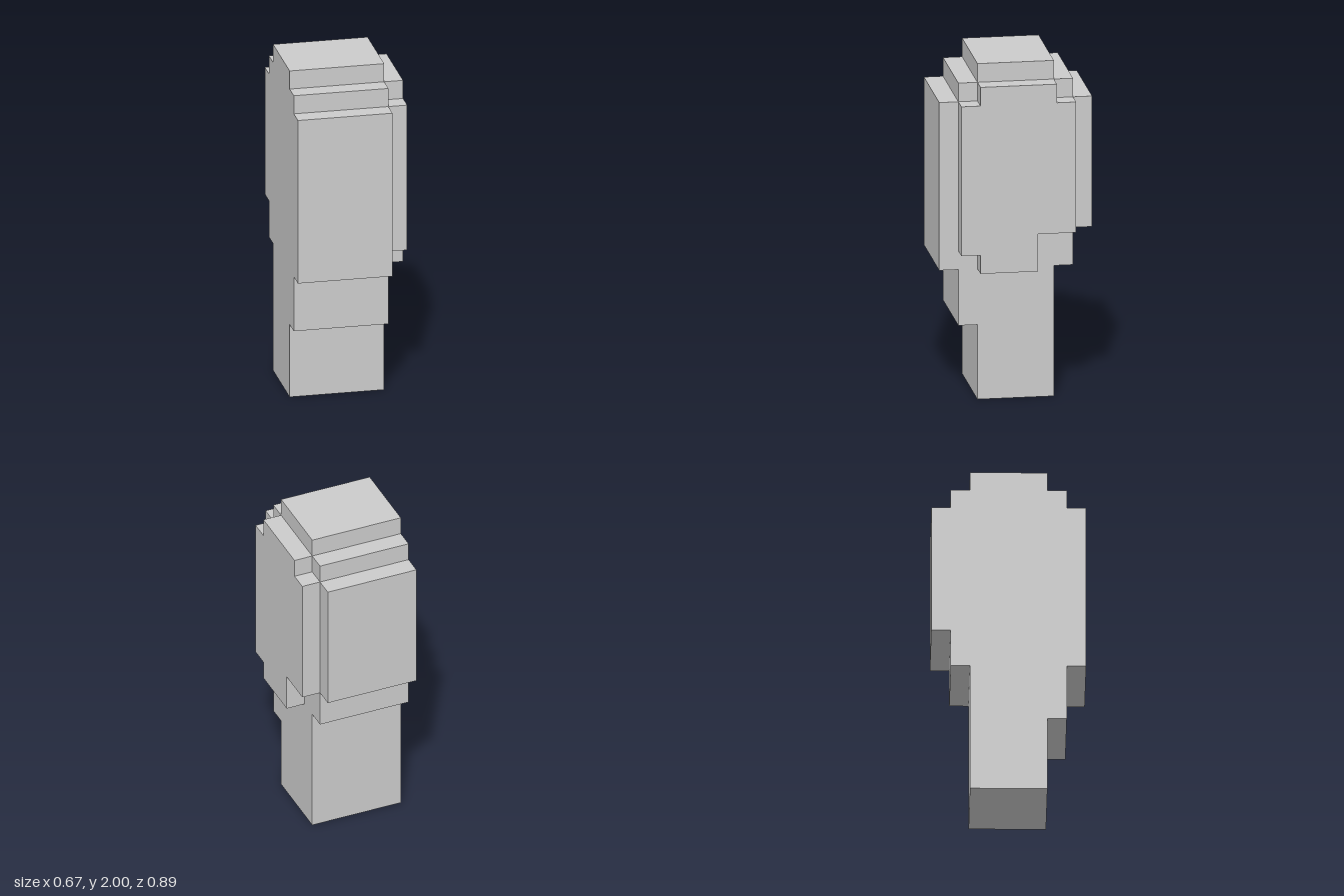
import * as THREE from 'three';

// Everything sits on a grid of eighteen steps in height
const U = 1 / 9;

// Extrudes a stepped side outline of [z, y] grid points between two x positions
function slab(name, outline, x0, x1, material) {
  const shape = new THREE.Shape(outline.map(([z, y]) => new THREE.Vector2(z * U, y * U)));
  const geometry = new THREE.ExtrudeGeometry(shape, { depth: (x1 - x0) * U, bevelEnabled: false });
  geometry.rotateY(-Math.PI / 2).translate(x1 * U, 0, 0);
  const mesh = new THREE.Mesh(geometry, material);
  mesh.name = name;
  return mesh;
}

export function createModel() {
  const group = new THREE.Group();
  group.name = 'steppedBlock';
  const material = new THREE.MeshStandardMaterial({ color: 0xcccccc, flatShading: true });

  // Main body: narrow post below, stepped head above
  const body = [
    [-2, 0], [2, 0], [2, 4], [3, 4], [3, 7], [4, 7], [4, 16], [3, 16], [3, 17], [2, 17], [2, 18],
    [-2, 18], [-2, 17], [-3, 17], [-3, 16], [-4, 16], [-4, 9], [-3, 9], [-3, 7], [-2, 7],
  ];
  group.add(slab('body', body, -3, 2, material));

  // Raised panel on the left side of the head
  const panel = [
    [-1, 7], [2, 7], [2, 8], [3, 8], [3, 16], [2, 16], [2, 17],
    [-2, 17], [-2, 16], [-3, 16], [-3, 9], [-1, 9],
  ];
  group.add(slab('sidePanel', panel, 2, 3, material));

  return group;
}
